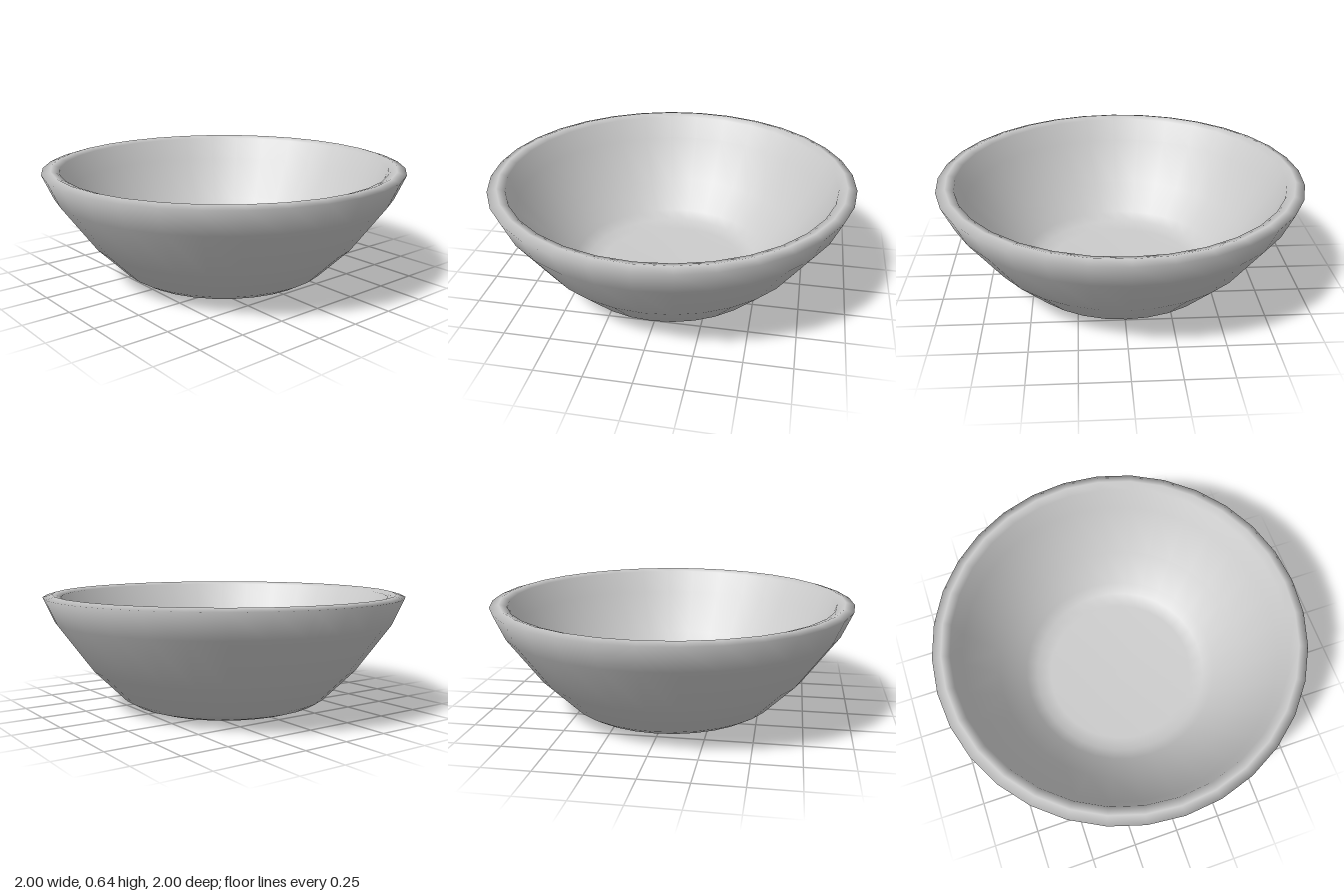
import * as THREE from 'three';

export function createModel() {
  const group = new THREE.Group();
  group.name = 'bowl';
  const material = new THREE.MeshStandardMaterial({ color: 0xcccccc });

  // Closed wall section: underside, outer wall, rolled rim, inner wall, floor
  const profile = [
    [0, 0], [0.4, 0.002], [0.47, 0.01], [0.53, 0.03], [0.58, 0.06],
    [0.755, 0.235], [0.94, 0.49], [1, 0.625],
    [0.95, 0.64], [0.905, 0.625],
    [0.865, 0.5], [0.7, 0.265], [0.56, 0.115], [0.5, 0.075], [0.42, 0.055], [0, 0.05],
  ].map(([r, y]) => new THREE.Vector2(r, y));

  const shell = new THREE.Mesh(new THREE.LatheGeometry(profile, 32), material);
  shell.name = 'bowlShell';
  group.add(shell);
  return group;
}
